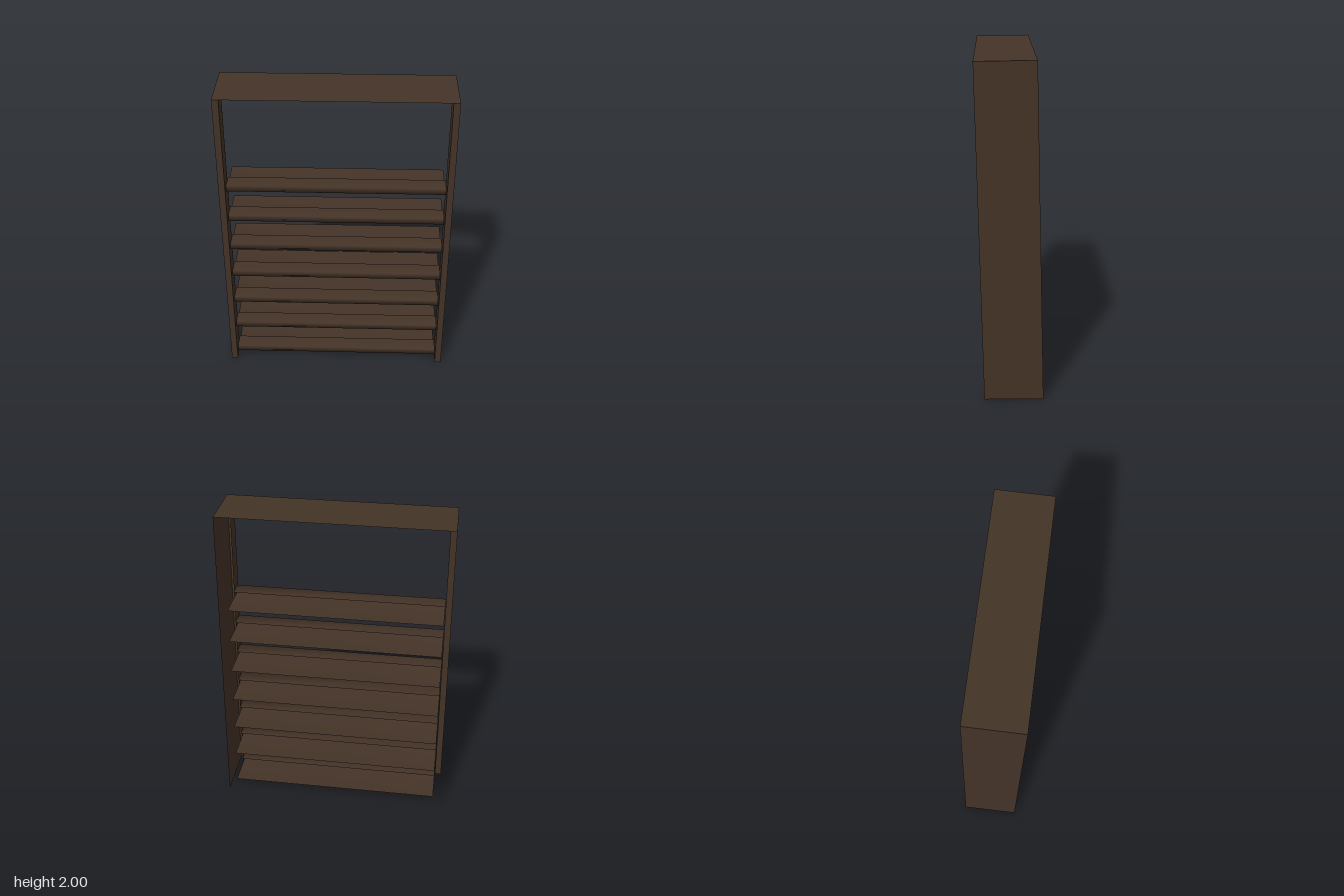
import * as THREE from 'three';

const brown = new THREE.MeshStandardMaterial({ color: 0x443327, side: THREE.DoubleSide });
brown.name = 'darkBrown';

// The whole rack leans slightly forward: front edge and outer width change with height
const frontZ = (y) => 0.15 + 0.025 * y;
const outerX = (y) => 0.715 - 0.0075 * y;

// Folded sheet: joins two matching rows of points with quads
function foldedSheet(name, rowA, rowB, smooth = false) {
  const n = rowA.length;
  const index = [];
  for (let i = 0; i < n - 1; i++) index.push(i, i + 1, n + i, i + 1, n + i + 1, n + i);
  let geo = new THREE.BufferGeometry();
  geo.setAttribute('position', new THREE.Float32BufferAttribute([...rowA, ...rowB].flat(), 3));
  geo.setIndex(index);
  if (!smooth) geo = geo.toNonIndexed();
  geo.computeVertexNormals();
  const mesh = new THREE.Mesh(geo, brown);
  mesh.name = name;
  return mesh;
}

export function createModel() {
  const group = new THREE.Group();
  group.name = 'shelfRack';

  // Side panels: outer sheet, front lip and a short inner return; the top slopes down to the front
  for (const s of [1, -1]) {
    const section = (y, drop) => {
      const x = outerX(y), z = frontZ(y);
      return [
        [s * x, y, z - 0.35],
        [s * x, y - drop, z],
        [s * (x - 0.04), y - drop, z],
        [s * (x - 0.04), y - drop * 0.7, z - 0.11],
      ];
    };
    const top = section(2, 0.006), bottom = section(0, 0);
    const rows = s > 0 ? [top, bottom] : [bottom, top];
    group.add(foldedSheet(s > 0 ? 'leftSide' : 'rightSide', ...rows));
  }

  // Thin top sheet
  const topEdge = (x) => [[x, 1.994, frontZ(2)], [x, 2, frontZ(2) - 0.35]];
  group.add(foldedSheet('topPanel', topEdge(-outerX(2)), topEdge(outerX(2))));

  // Seven shelves, set back a little, each with a raised front lip folded back over the sheet
  for (let i = 0; i < 7; i++) {
    const y = 0.046 + i * 0.2188;
    const z = frontZ(y);
    const w = outerX(y) - 0.043;
    const section = (x) => [
      [x, y + 0.041, z - 0.13],
      [x, y + 0.041, z - 0.03],
      [x, y, z - 0.03],
      [x, y + 0.008, z - 0.308],
    ];
    group.add(foldedSheet(`shelf${i + 1}`, section(-w), section(w), true));
  }
  return group;
}
